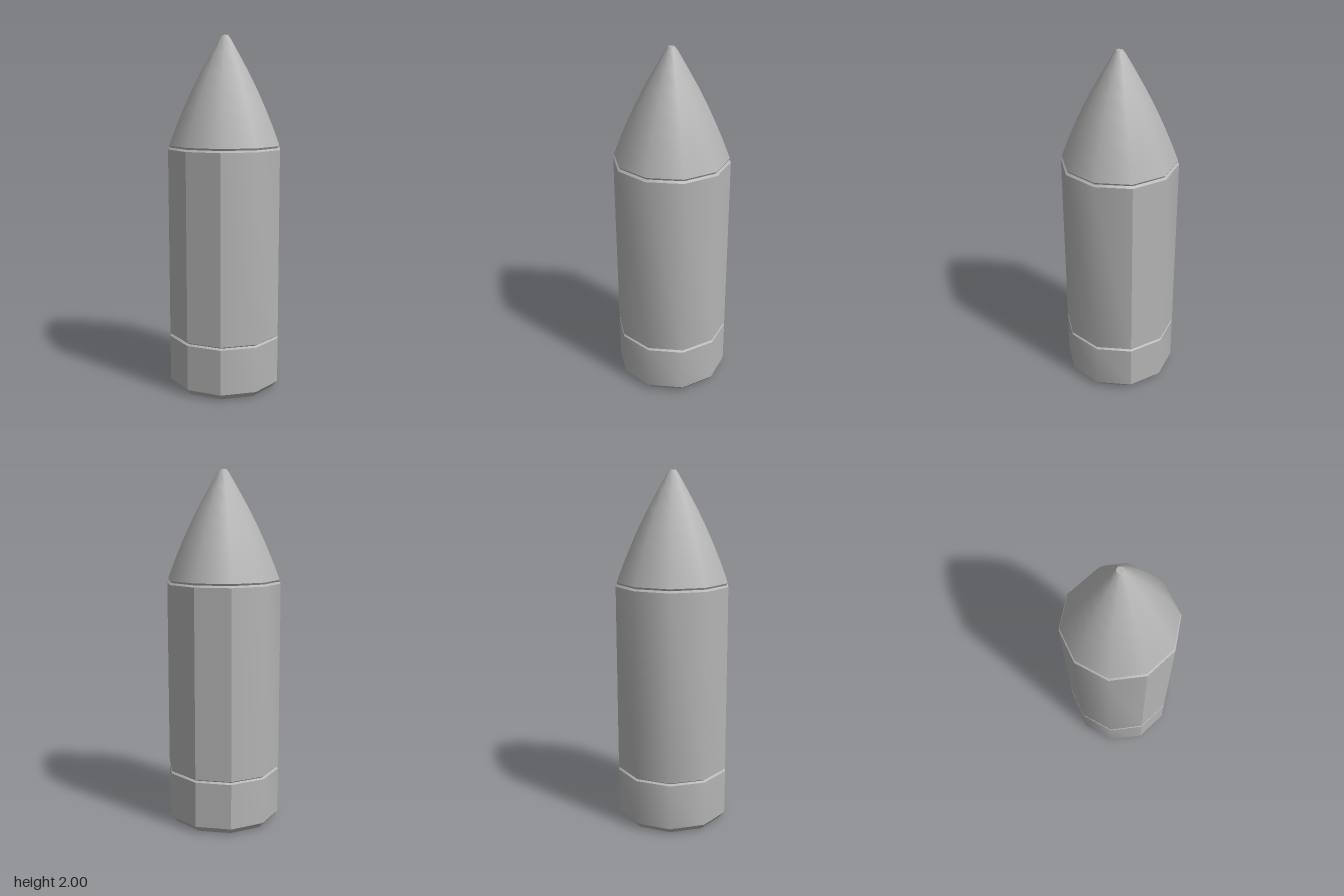
import * as THREE from 'three';

const SIDES = 10;
const STEP = (Math.PI * 2) / SIDES;
const R = 0.326;

export function createModel() {
  const model = new THREE.Group();
  model.name = 'pointedCylinder';
  const grey = new THREE.MeshStandardMaterial({ color: 0xb4b4b4 });
  grey.name = 'plain grey';

  const add = (name, geometry, parent = model) => {
    const mesh = new THREE.Mesh(geometry, grey);
    mesh.name = name;
    parent.add(mesh);
    return mesh;
  };

  // Ten-sided surface turned from [radius, height] pairs, lowest first
  const turned = (pairs, start = STEP / 2, sides = SIDES) =>
    new THREE.LatheGeometry(pairs.map(([r, y]) => new THREE.Vector2(r, y)), sides, start, sides * STEP);

  // Wall with flat front and back facets and smoothly rounded flanks
  const wall = (name, y0, y1) => {
    const group = new THREE.Group();
    group.name = name;
    model.add(group);
    for (const half of [0, Math.PI]) {
      for (const [part, start, sides] of [['Facet', -STEP / 2, 1], ['Flank', STEP / 2, 4]]) {
        const geometry = turned([[R, y0], [R, y1]], start + half, sides);
        geometry.computeVertexNormals();
        add(name + part, geometry, group);
      }
    }
  };

  // Narrow V-shaped groove, each slope shaded on its own
  const groove = (name, y0, y1, topRadius) => {
    const middle = (y0 + y1) / 2;
    add(name + 'Lower', turned([[R, y0], [0.314, middle]]));
    add(name + 'Upper', turned([[0.314, middle], [topRadius, y1]]));
  };

  const cap = (name, radius, y, turn) => {
    const mesh = add(name, new THREE.CircleGeometry(radius, SIDES).rotateX(turn));
    mesh.position.y = y;
  };

  // Base
  cap('bottom', 0.295, 0, Math.PI / 2);
  add('bottomBevel', turned([[0.295, 0], [R, 0.035]]));
  wall('baseBand', 0.035, 0.295);
  groove('lowerGroove', 0.295, 0.312, R);

  // Body
  wall('body', 0.312, 1.376);
  groove('upperGroove', 1.376, 1.397, 0.32);

  // Curved nose with a small flat tip
  add('nose', turned([
    [0.32, 1.397], [0.28, 1.5], [0.237, 1.6], [0.19, 1.7],
    [0.138, 1.8], [0.081, 1.9], [0.034, 1.98], [0.019, 2],
  ]));
  cap('tip', 0.019, 2, -Math.PI / 2);

  return model;
}
